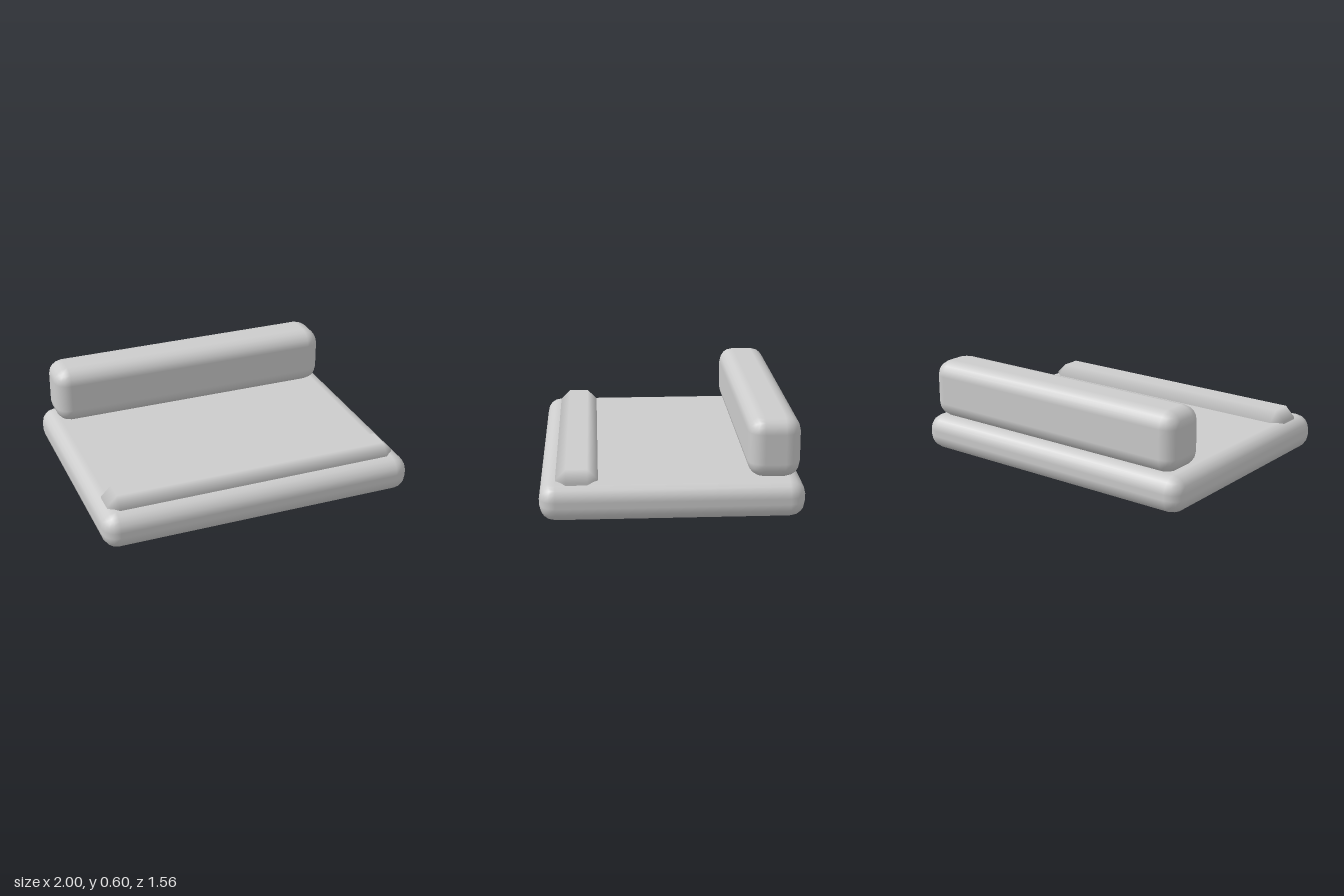
import * as THREE from 'three';
import { RoundedBoxGeometry } from 'three/addons/geometries/RoundedBoxGeometry.js';
import { ConvexGeometry } from 'three/addons/geometries/ConvexGeometry.js';

// Box with one 45 degree chamfer per edge, shaded softly across the chamfers
function chamferedBox(w, h, d, r) {
  const core = new THREE.Vector3(w / 2 - r, h / 2 - r, d / 2 - r);
  const points = [];
  for (const x of [-1, 1]) for (const y of [-1, 1]) for (const z of [-1, 1]) {
    const corner = new THREE.Vector3(x, y, z).multiply(core);
    points.push(corner.clone().add(new THREE.Vector3(x * r, 0, 0)));
    points.push(corner.clone().add(new THREE.Vector3(0, y * r, 0)));
    points.push(corner.clone().add(new THREE.Vector3(0, 0, z * r)));
  }
  const geometry = new ConvexGeometry(points);
  const { position, normal } = geometry.attributes;
  const low = core.clone().negate();
  const p = new THREE.Vector3();
  for (let i = 0; i < position.count; i++) {
    p.fromBufferAttribute(position, i);
    const n = p.clone().sub(p.clone().clamp(low, core)).normalize();
    normal.setXYZ(i, n.x, n.y, n.z);
  }
  return geometry;
}

export function createModel() {
  const group = new THREE.Group();
  const grey = new THREE.MeshStandardMaterial({ color: 0xcccccc });
  grey.name = 'light grey';

  const add = (name, geometry, y, z) => {
    const mesh = new THREE.Mesh(geometry, grey);
    mesh.name = name;
    mesh.position.set(0, y, z);
    group.add(mesh);
  };

  // Broad cushion slab on the ground
  add('baseCushion', new RoundedBoxGeometry(2, 0.225, 1.56, 2, 0.095), 0.1125, 0);
  // Tall padded bar along the back
  add('backBolster', new RoundedBoxGeometry(1.88, 0.37, 0.31, 2, 0.095), 0.41, -0.597);
  // Low chamfered ridge near the front, partly sunk into the slab
  add('frontRidge', chamferedBox(1.88, 0.19, 0.25, 0.0625), 0.199, 0.56);

  return group;
}
